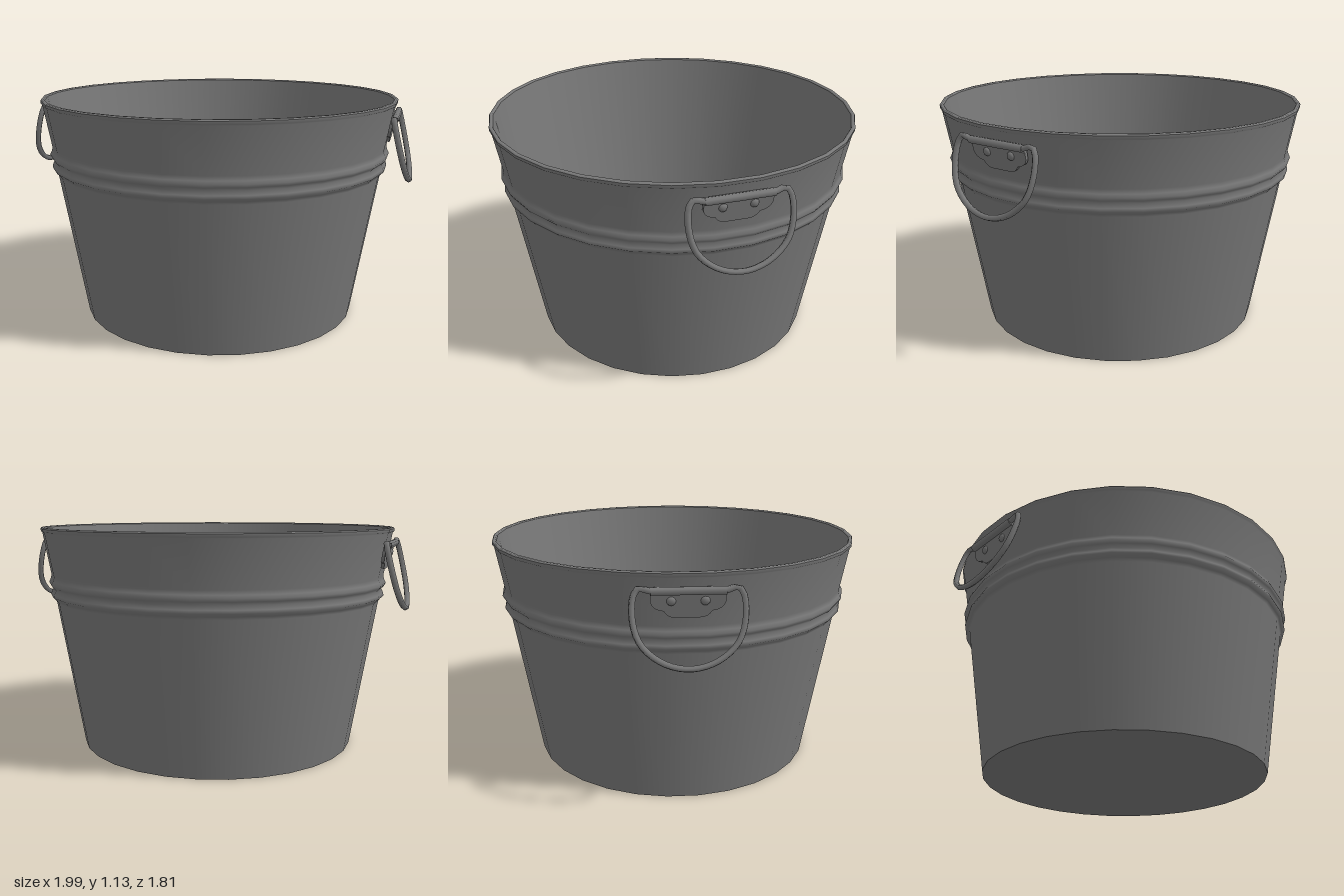
import * as THREE from 'three';

const SIDES = 30;

export function createModel() {
  const tub = new THREE.Group();
  tub.name = 'washTub';
  const metal = new THREE.MeshStandardMaterial({ color: 0x787878 });
  metal.name = 'galvanised grey';

  const add = (parent, name, geometry) => {
    const mesh = new THREE.Mesh(geometry, metal);
    mesh.name = name;
    parent.add(mesh);
    return mesh;
  };
  // Each turned surface is its own lathe, so the edges between them stay sharp
  const turned = (name, points) =>
    add(tub, name, new THREE.LatheGeometry(points.map(p => new THREE.Vector2(...p)), SIDES));

  // Outer wall with two raised beads
  turned('outerWall', [
    [0.713, 0], [0.839, 0.755], [0.849, 0.77], [0.865, 0.785], [0.862, 0.8],
    [0.852, 0.82], [0.866, 0.835], [0.874, 0.85], [0.866, 0.865], [0.86, 0.885],
    [0.898, 1.1], [0.905, 1.106], [0.906, 1.12]]);
  turned('rim', [[0.906, 1.12], [0.902, 1.126], [0.89, 1.126], [0.886, 1.12]]);
  turned('innerWall', [[0.886, 1.12], [0.696, 0.012]]);
  turned('floor', [[0.696, 0.012], [0, 0.012]]);
  turned('underside', [[0, 0], [0.713, 0]]);

  // Handles: local x runs along the wall, local z points outward
  for (const side of [1, -1]) {
    const handle = new THREE.Group();
    handle.name = side > 0 ? 'leftHandle' : 'rightHandle';
    handle.rotation.y = side * Math.PI / 2;
    tub.add(handle);

    // D-shaped ring leaning away from the wall
    const half = [[0.16, 1.052], [0.2, 1.064], [0.224, 1.035], [0.229, 0.93],
      [0.197, 0.84], [0.11, 0.768]];
    const outline = [...half, [0, 0.742], ...half.map(([x, y]) => [-x, y]).reverse()];
    const path = new THREE.CatmullRomCurve3(
      outline.map(([x, y]) => new THREE.Vector3(x, y, 0.902 + (1.06 - y) * 0.25)), true);
    add(handle, 'ring', new THREE.TubeGeometry(path, 48, 0.014, 6, true));

    // Bracket lying against the wall
    const bracket = new THREE.Group();
    bracket.name = 'bracket';
    bracket.position.set(0, 1.05, 0.884);
    bracket.rotation.x = 0.168;
    handle.add(bracket);
    const shape = new THREE.Shape();
    shape.moveTo(-0.155, 0.01);
    shape.lineTo(-0.155, -0.05);
    shape.quadraticCurveTo(-0.145, -0.085, -0.1, -0.09);
    shape.quadraticCurveTo(-0.085, -0.12, -0.05, -0.12);
    shape.lineTo(0.05, -0.12);
    shape.quadraticCurveTo(0.085, -0.12, 0.1, -0.09);
    shape.quadraticCurveTo(0.145, -0.085, 0.155, -0.05);
    shape.lineTo(0.155, 0.01);
    add(bracket, 'plate', new THREE.ExtrudeGeometry(shape,
      { depth: 0.014, bevelEnabled: false, curveSegments: 4 }));

    // Rolled sleeve around the top bar
    const sleeve = add(bracket, 'sleeve', new THREE.CylinderGeometry(0.018, 0.018, 0.31, 8));
    sleeve.rotation.z = Math.PI / 2;
    sleeve.position.set(0, 0.002, 0.018);

    // Rivets
    for (const x of [-0.07, 0.07]) {
      const rivet = add(bracket, 'rivet', new THREE.SphereGeometry(0.02, 8, 6));
      rivet.scale.z = 0.6;
      rivet.position.set(x, -0.045, 0.014);
    }
  }
  return tub;
}
